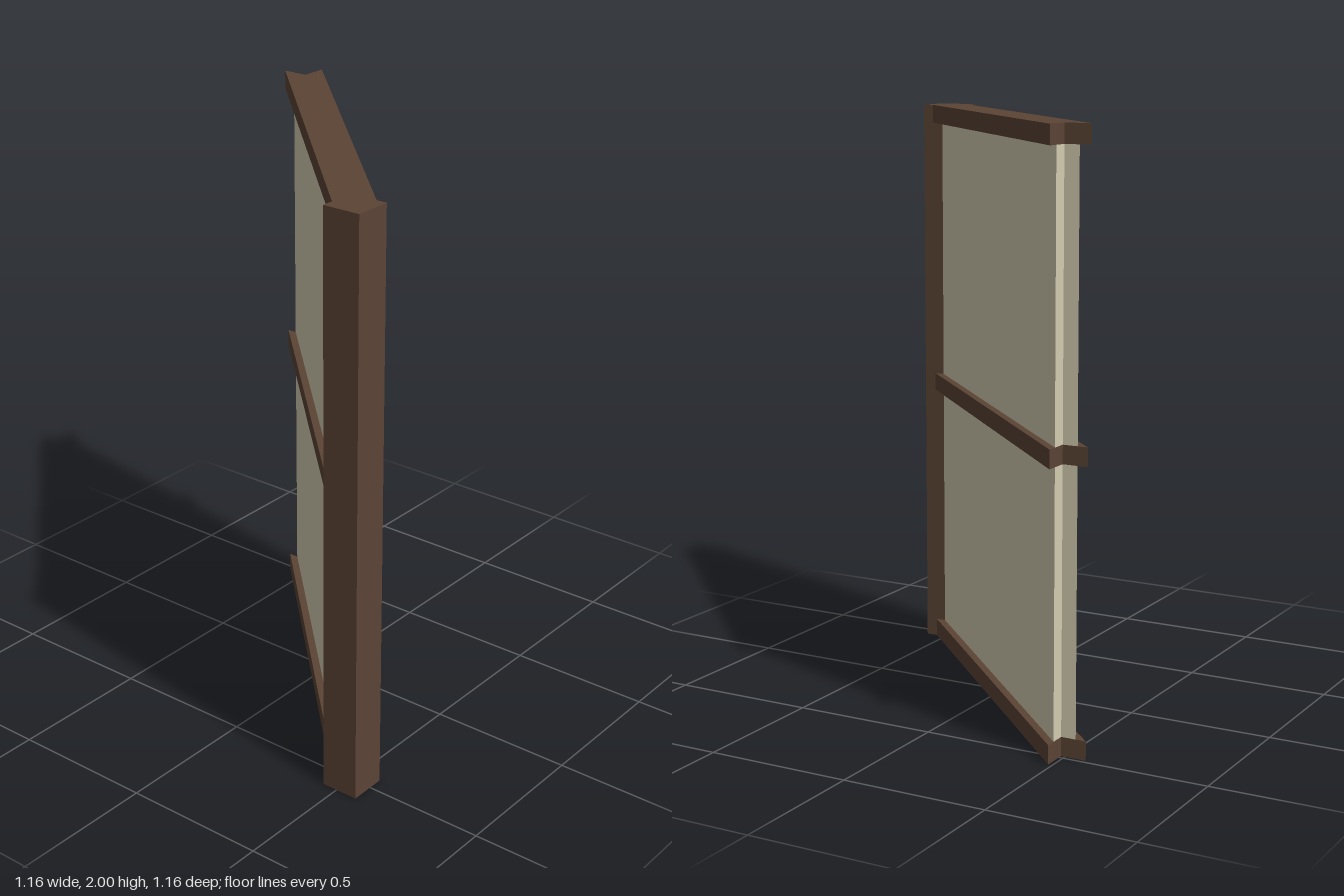
import * as THREE from 'three';

export function createModel() {
  const group = new THREE.Group();
  const wood = new THREE.MeshStandardMaterial({ color: 0x5c4435 });
  wood.name = 'dark wood';
  const plaster = new THREE.MeshStandardMaterial({ color: 0xd6cfb3 });
  plaster.name = 'beige plaster';

  const START = 0.46; // distance of the inner end from the centre, inside the post
  const END = 0.486;  // corner of the notch at the outer end

  // Diagonal bar running from the post to a right-angled notch.
  // h is half its width measured along x or z.
  function diagonalBar(name, h, bottom, top, material) {
    const outline = [
      [-START, START + h], [END + h, -END], [END, -END],
      [END, -END - h], [-START - h, START], [-START, START],
    ].map(([x, z]) => new THREE.Vector2(x, -z));
    const geometry = new THREE.ExtrudeGeometry(new THREE.Shape(outline), {
      depth: top - bottom, bevelEnabled: false,
    });
    geometry.rotateX(-Math.PI / 2);
    const mesh = new THREE.Mesh(geometry, material);
    mesh.name = name;
    mesh.position.y = bottom;
    group.add(mesh);
  }

  // Corner post
  const post = new THREE.Mesh(new THREE.BoxGeometry(0.13, 2, 0.132), wood);
  post.name = 'cornerPost';
  post.position.set(-0.514, 1, 0.512);
  group.add(post);

  // Horizontal rails
  diagonalBar('bottomRail', 0.088, 0, 0.064, wood);
  diagonalBar('middleRail', 0.087, 0.95, 1.012, wood);
  diagonalBar('topRail', 0.092, 1.936, 2, wood);

  // Wall panels between the rails
  diagonalBar('lowerPanel', 0.052, 0.064, 0.95, plaster);
  diagonalBar('upperPanel', 0.052, 1.012, 1.936, plaster);

  return group;
}
